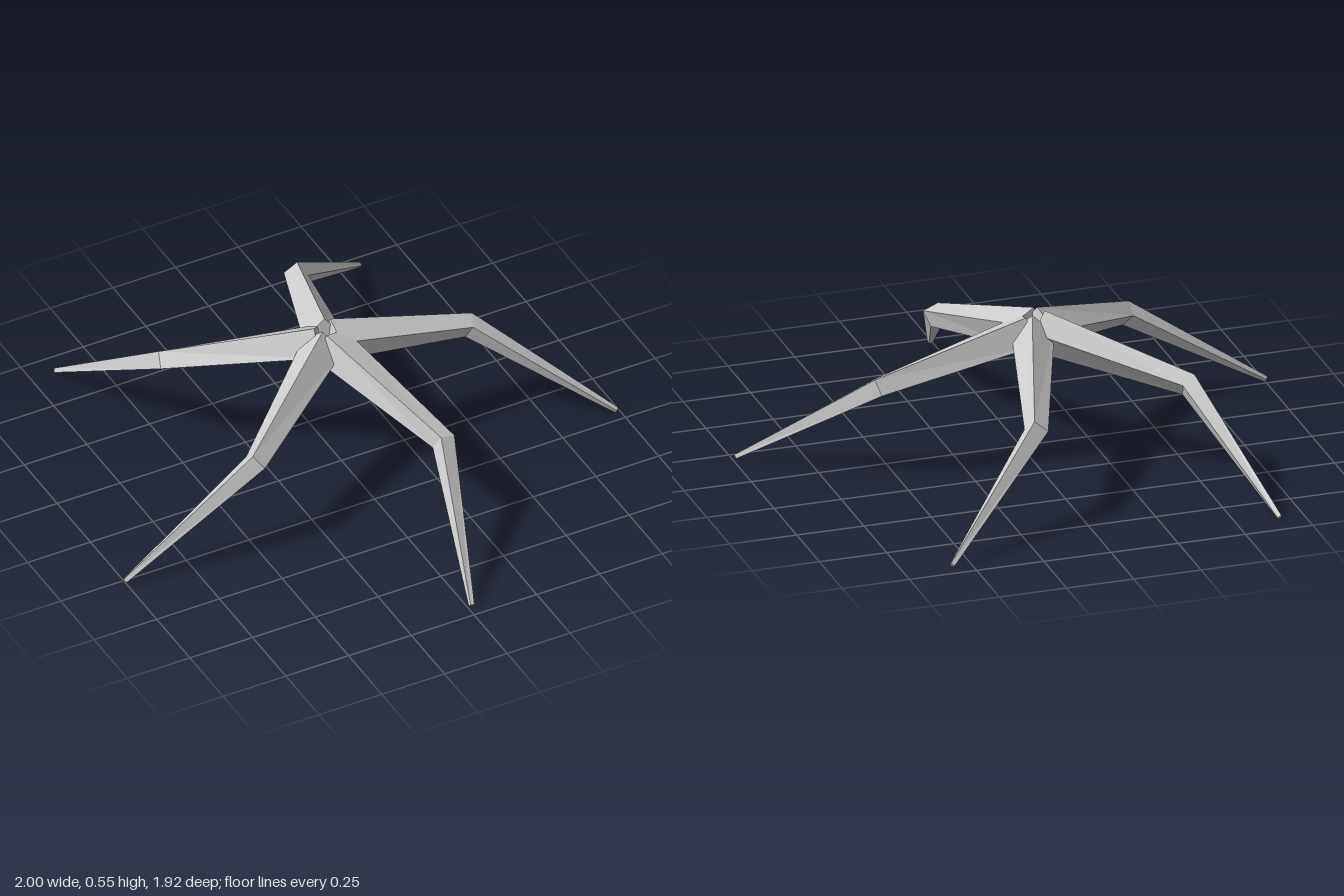
import * as THREE from 'three';

const CENTRE = new THREE.Vector3(-0.017, 0, -0.087);

// Point at a given angle (from +x towards +z), radius and height around the hub
const polar = (deg, r, y) => {
  const a = THREE.MathUtils.degToRad(deg);
  return new THREE.Vector3(Math.cos(a) * r, y, Math.sin(a) * r).add(CENTRE);
};

// Four-sided tapered limb swept through a few points
function limbGeometry(points, radii, rollDeg) {
  const roll = THREE.MathUtils.degToRad(rollDeg);
  const up = new THREE.Vector3(0, 1, 0);
  const rings = points.map((p, i) => {
    const t = new THREE.Vector3();
    if (i > 0) t.add(p.clone().sub(points[i - 1]).normalize());
    if (i < points.length - 1) t.add(points[i + 1].clone().sub(p).normalize());
    t.normalize();
    const s = t.clone().cross(up).normalize();
    const u = s.clone().cross(t);
    return [0, 1, 2, 3].map((k) => {
      const a = roll + (k * Math.PI) / 2;
      return p.clone()
        .addScaledVector(u, Math.cos(a) * radii[i])
        .addScaledVector(s, Math.sin(a) * radii[i]);
    });
  });
  const pos = [];
  const quad = (a, b, c, d) => [a, b, c, a, c, d].forEach((v) => pos.push(v.x, v.y, v.z));
  for (let i = 0; i < rings.length - 1; i++) {
    for (let k = 0; k < 4; k++) {
      const n = (k + 1) % 4;
      quad(rings[i][k], rings[i][n], rings[i + 1][n], rings[i + 1][k]);
    }
  }
  const first = rings[0], last = rings[rings.length - 1];
  quad(first[3], first[2], first[1], first[0]);
  quad(last[0], last[1], last[2], last[3]);
  const geo = new THREE.BufferGeometry();
  geo.setAttribute('position', new THREE.Float32BufferAttribute(pos, 3));
  geo.computeVertexNormals();
  return geo;
}

export function createModel() {
  const group = new THREE.Group();
  group.name = 'fiveLeggedStand';
  const grey = new THREE.MeshStandardMaterial({ color: 0xcccccc, flatShading: true });
  grey.name = 'lightGrey';

  // Five bent legs around the hub, each with its own twist
  const rolls = [-26, 26, -5, -16, 2];
  rolls.forEach((roll, k) => {
    const turn = k * 72;
    const points = [
      polar(turn, 0.02, 0.477),
      polar(turn - 0.6, 0.573, 0.34),
      polar(turn + 16.4, 1.046, 0.01),
    ];
    const leg = new THREE.Mesh(limbGeometry(points, [0.076, 0.044, 0.011], roll), grey);
    leg.name = `leg${k + 1}`;
    group.add(leg);
  });
  return group;
}
